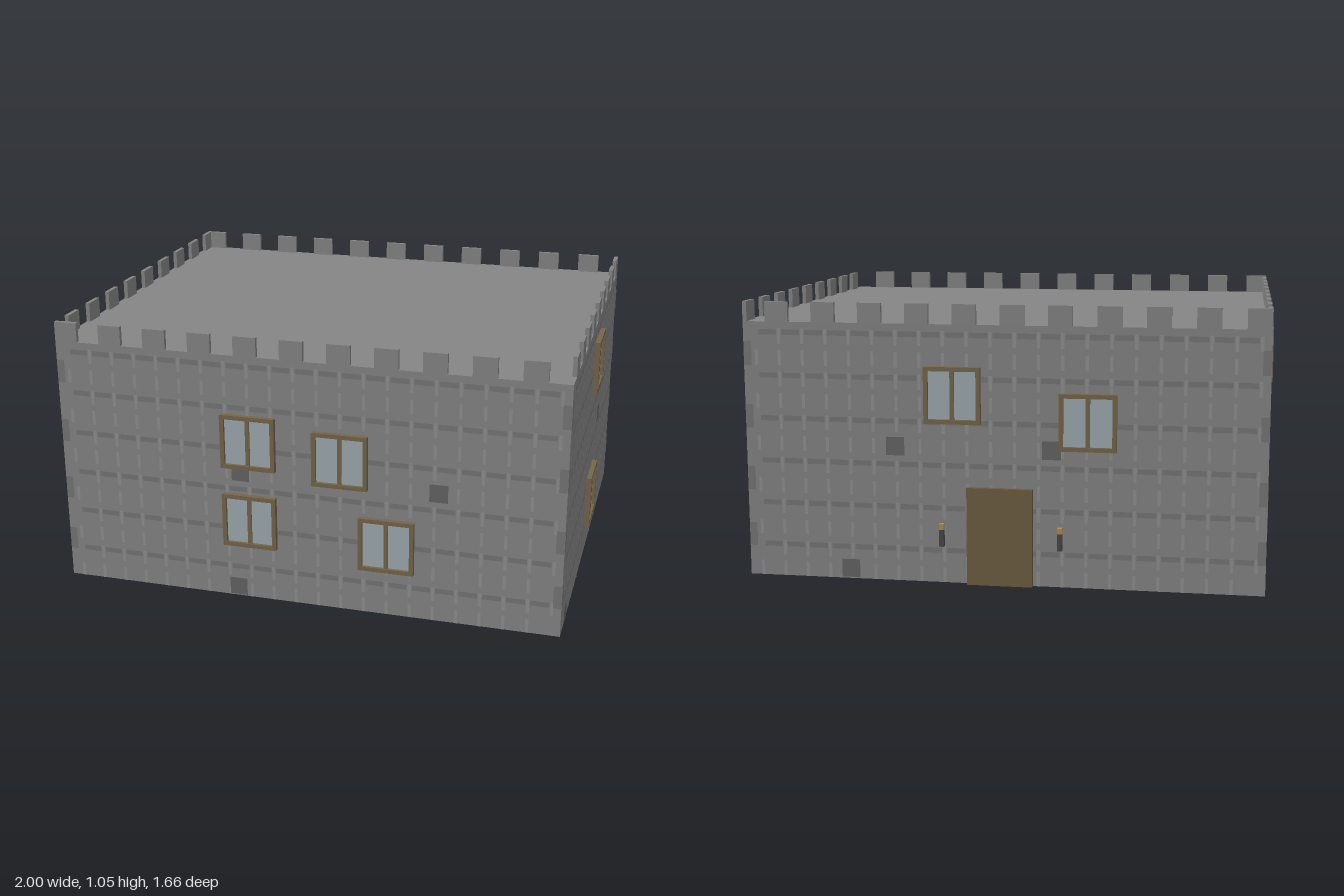
import * as THREE from 'three';
import { mergeGeometries } from 'three/addons/utils/BufferGeometryUtils.js';

const mat = (color) => new THREE.MeshStandardMaterial({ color });
const stone = mat(0x858585), darkStone = mat(0x777777), lightStone = mat(0x909090);
const oddStone = mat(0x656565), wood = mat(0x75664a), doorWood = mat(0x6e5e42);
const glass = mat(0x9fabb1), iron = mat(0x484848), flame = mat(0xb98a45);

const HEIGHT = 0.98, BACK = -0.795, FRONT = 0.81, SIDE = 0.98;
const WINDOW = 0.213, STEP = 0.1785;

function add(parent, name, geometry, material, x = 0, y = 0, z = 0) {
  const mesh = new THREE.Mesh(geometry, material);
  mesh.name = name;
  mesh.position.set(x, y, z);
  parent.add(mesh);
  return mesh;
}

const box = (w, h, d, x = 0, y = 0, z = 0) => new THREE.BoxGeometry(w, h, d).translate(x, y, z);
const patch = (w, h, x, y, z) => new THREE.PlaneGeometry(w, h).translate(x, y, z);

// Two-pane window with a projecting wooden frame
function makeWindow(x, y) {
  const g = new THREE.Group();
  g.name = 'window';
  g.position.set(x, y, 0);
  const bar = 0.016, e = (WINDOW - bar) / 2;
  const bars = [box(bar, WINDOW - 2 * bar, 0.014, 0, 0, 0.007)];
  for (const s of [-1, 1]) {
    bars.push(box(WINDOW, bar, 0.02, 0, s * e, 0.01));
    bars.push(box(bar, WINDOW - 2 * bar, 0.02, s * e, 0, 0.01));
  }
  add(g, 'windowFrame', mergeGeometries(bars), wood);
  add(g, 'windowPanes', box(WINDOW - 2 * bar, WINDOW - 2 * bar, 0.008), glass, 0, 0, 0.004);
  return g;
}

// Stone courses: shaded beds, pale upright joints, corner stones and a few odd stones
function addMasonry(wall, u0, u1, odd) {
  const beds = [], joints = [], corners = [];
  const rows = 12, pitch = HEIGHT / rows, length = 0.0893;
  for (let r = 0; r < rows; r++) {
    const y = (r + 0.5) * pitch;
    const shift = (r % 2) * length / 2;
    for (let u = u0 + 0.05 + shift; u < u1 - 0.05; u += length) {
      if (r % 2) beds.push(patch(0.07, 0.02, u, y + 0.002, 0.001));
      joints.push(patch(0.012, pitch * 0.7, u + (r % 2 ? length / 2 : 0), y - 0.012, 0.0015));
    }
  }
  for (const y of [0.16, 0.38, 0.62, 0.86]) {
    for (const u of [u0 + 0.016, u1 - 0.016]) corners.push(patch(0.03, 0.09, u, y, 0.002));
  }
  add(wall, 'stoneBeds', mergeGeometries(beds), darkStone);
  add(wall, 'stoneJoints', mergeGeometries(joints), lightStone);
  add(wall, 'cornerStones', mergeGeometries(corners), darkStone);
  add(wall, 'oddStones', mergeGeometries(odd.map(([u, y]) => patch(0.07, 0.07, u, y, 0.0025))), oddStone);
}

// One wall dressing in local space: u runs to the viewer's right, +z points outward
function makeWall({ name, turn, at, u0, u1, merlons, flip, windows, odd }) {
  const wall = new THREE.Group();
  wall.name = name;
  wall.rotation.y = turn;
  wall.position.set(...at);
  addMasonry(wall, u0, u1, odd);
  const blocks = [];
  for (let i = 0; i < merlons; i++) {
    const d = i * STEP + 0.0445;
    blocks.push(box(0.089, 0.075, 0.016, flip ? u1 - d : u0 + d, HEIGHT + 0.0375, -0.008));
  }
  add(wall, 'battlements', mergeGeometries(blocks), stone);
  for (const [u, y] of windows) wall.add(makeWindow(u, y));
  return wall;
}

// Wall torch: iron stick with a glowing tip
function makeTorch(x, y) {
  const g = new THREE.Group();
  g.name = 'torch';
  g.position.set(x, y, BACK - 0.026);
  add(g, 'torchStick', box(0.018, 0.065, 0.018), iron, 0, -0.01, 0);
  add(g, 'torchFlame', box(0.018, 0.022, 0.018), flame, 0, 0.0335, 0);
  add(g, 'torchBracket', box(0.01, 0.015, 0.02), iron, 0, -0.02, 0.016);
  return g;
}

export function createModel() {
  const model = new THREE.Group();
  model.name = 'stoneKeep';

  // Solid body with flat roof
  add(model, 'body', box(2 * SIDE, HEIGHT, FRONT - BACK), stone, 0, HEIGHT / 2, (FRONT + BACK) / 2);

  const walls = [
    {
      name: 'frontWall', turn: 0, at: [0, 0, FRONT], u0: -SIDE, u1: SIDE, merlons: 11, flip: false,
      windows: [[-0.215, 0.645], [-0.215, 0.325], [0.142, 0.61], [0.32, 0.288]],
      odd: [[-0.25, 0.52], [0.515, 0.52], [-0.27, 0.04]],
    },
    {
      name: 'backWall', turn: Math.PI, at: [0, 0, BACK], u0: -SIDE, u1: SIDE, merlons: 11, flip: true,
      windows: [[-0.18, 0.718], [0.325, 0.628]],
      odd: [[-0.4, 0.52], [-0.58, 0.04], [0.19, 0.52]],
    },
    {
      name: 'leftWall', turn: Math.PI / 2, at: [SIDE, 0, 0], u0: -FRONT, u1: -BACK, merlons: 9, flip: true,
      windows: [[0.025, 0.807], [0.007, 0.234]],
      odd: [[0.205, 0.52], [-0.69, 0.04]],
    },
    {
      name: 'rightWall', turn: -Math.PI / 2, at: [-SIDE, 0, 0], u0: BACK, u1: FRONT, merlons: 9, flip: false,
      windows: [[-0.065, 0.807], [0.045, 0.128]],
      odd: [[-0.16, 0.52], [0.64, 0.04]],
    },
  ];
  for (const w of walls) model.add(makeWall(w));

  // Door slab on a slightly smaller backing
  const door = new THREE.Group();
  door.name = 'door';
  add(door, 'doorBacking', box(0.215, 0.355, 0.02), wood, 0, 0.1825, BACK - 0.01);
  add(door, 'doorSlab', box(0.247, 0.372, 0.018), doorWood, 0, 0.191, BACK - 0.028);
  model.add(door);

  model.add(makeTorch(0.22, 0.19), makeTorch(-0.225, 0.19));
  return model;
}
